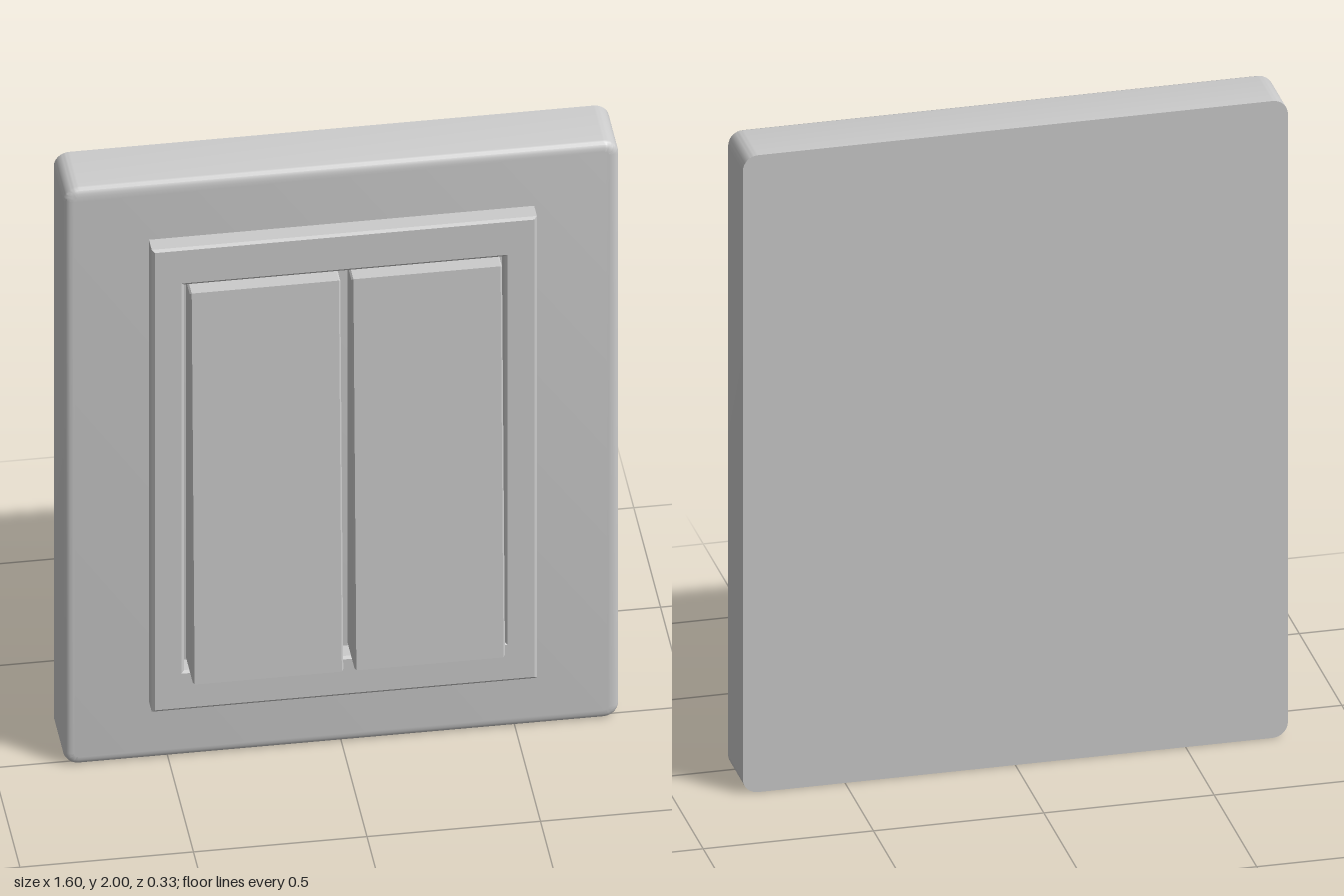
import * as THREE from 'three';
import { toCreasedNormals } from 'three/addons/utils/BufferGeometryUtils.js';

const material = new THREE.MeshStandardMaterial({ color: 0xcccccc });

// Rectangle with rounded corners, traced into a Shape or Path
function tracedRect(path, x0, y0, x1, y1, r) {
  path.moveTo(x0 + r, y0);
  path.lineTo(x1 - r, y0);
  if (r) path.absarc(x1 - r, y0 + r, r, -Math.PI / 2, 0);
  path.lineTo(x1, y1 - r);
  if (r) path.absarc(x1 - r, y1 - r, r, 0, Math.PI / 2);
  path.lineTo(x0 + r, y1);
  if (r) path.absarc(x0 + r, y1 - r, r, Math.PI / 2, Math.PI);
  path.lineTo(x0, y0 + r);
  if (r) path.absarc(x0 + r, y0 + r, r, Math.PI, Math.PI * 1.5);
  return path;
}

// Slab from zBack to zFront with its front edges bevelled and a flat back
function slab(name, shape, zBack, zFront, bevel, depth, segments) {
  const geo = new THREE.ExtrudeGeometry(shape, {
    depth: zFront - zBack - depth,
    bevelSize: bevel, bevelThickness: depth, bevelOffset: -bevel,
    bevelSegments: segments, curveSegments: 6,
  });
  const pos = geo.attributes.position;
  for (let i = 0; i < pos.count; i++) pos.setZ(i, Math.max(pos.getZ(i), 0));
  geo.translate(0, 0, zBack);
  const mesh = new THREE.Mesh(toCreasedNormals(geo, 0.6), material);
  mesh.name = name;
  return mesh;
}

// Wedge-shaped rocker: side profile swept across its width
function rocker(name, x0, x1) {
  const b = 0.005;
  const profile = new THREE.Shape([
    new THREE.Vector2(0.03, 0.345),
    new THREE.Vector2(0.166, 0.345),
    new THREE.Vector2(0.11, 1.665),
    new THREE.Vector2(0.03, 1.665),
  ]);
  const geo = new THREE.ExtrudeGeometry(profile, {
    depth: x1 - x0 - 2 * b,
    bevelSize: b, bevelThickness: b, bevelOffset: -b, bevelSegments: 1,
  });
  geo.rotateY(-Math.PI / 2);
  geo.translate(x1 - b, 0, 0);
  const mesh = new THREE.Mesh(toCreasedNormals(geo, 0.5), material);
  mesh.name = name;
  return mesh;
}

export function createModel() {
  const group = new THREE.Group();
  group.name = 'wallSwitch';

  // Wall plate with rounded corners and softened front edge
  const plate = tracedRect(new THREE.Shape(), -0.8, 0, 0.8, 2, 0.045);
  group.add(slab('wallPlate', plate, -0.166, 0.025, 0.028, 0.018, 4));

  // Raised frame with an opening for the rockers
  const frame = tracedRect(new THREE.Shape(), -0.555, 0.2, 0.555, 1.805, 0);
  frame.holes.push(tracedRect(new THREE.Path(), -0.462, 0.335, 0.462, 1.675, 0));
  group.add(slab('raisedFrame', frame, 0.01, 0.082, 0.008, 0.006, 1));

  // Pair of tilted rockers
  group.add(rocker('leftRocker', 0.016, 0.45), rocker('rightRocker', -0.45, -0.016));

  return group;
}
